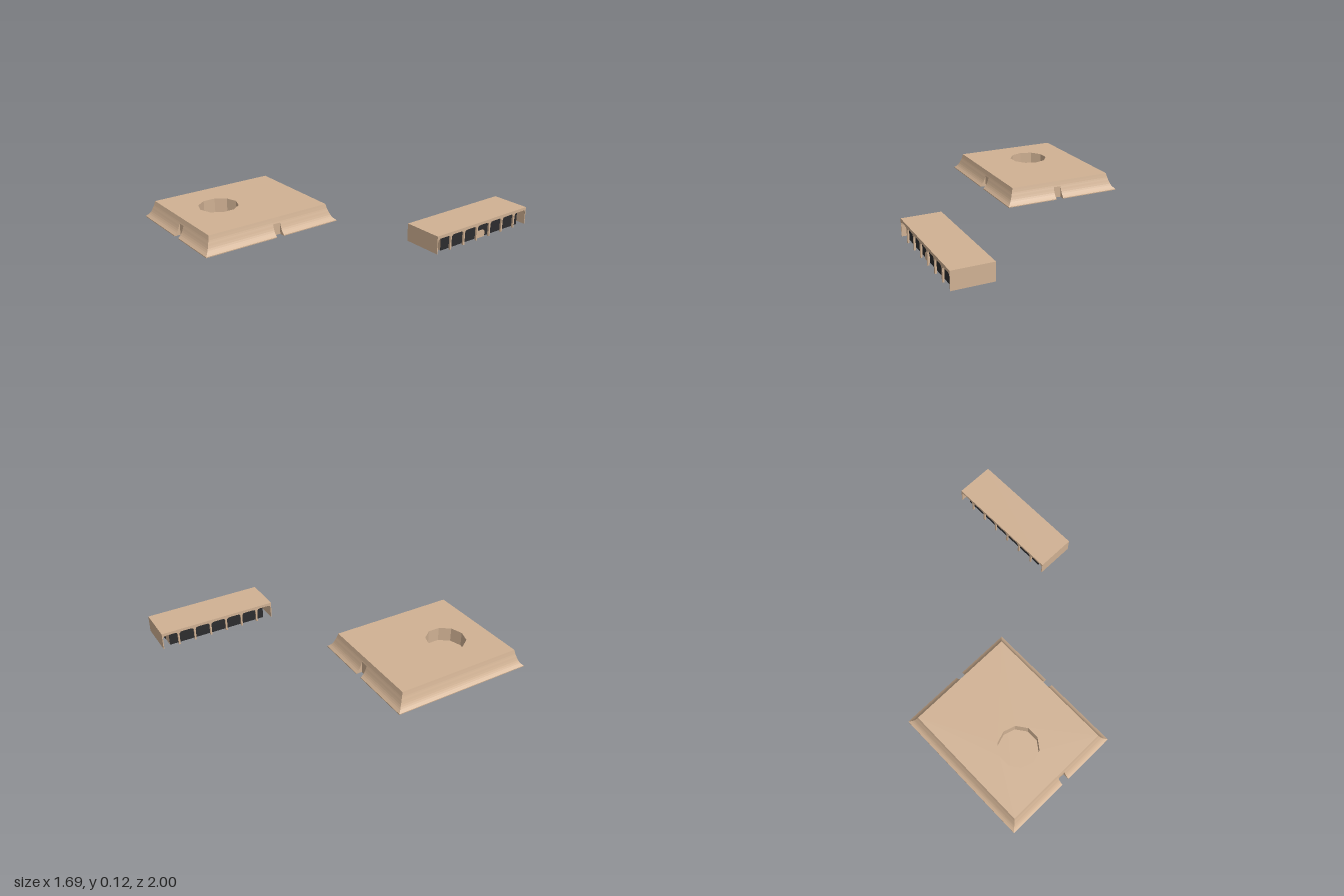
import * as THREE from 'three';

const tan = new THREE.MeshStandardMaterial({ color: 0xd0b193 });
tan.name = 'tan';
const dark = new THREE.MeshStandardMaterial({ color: 0x2c2c2e });
dark.name = 'dark grey';

function add(parent, name, geometry, material) {
  const mesh = new THREE.Mesh(geometry, material);
  mesh.name = name;
  parent.add(mesh);
  return mesh;
}

// Box given by its minimum and maximum corners
function box(parent, name, material, x0, x1, y0, y1, z0, z1) {
  const mesh = add(parent, name, new THREE.BoxGeometry(x1 - x0, y1 - y0, z1 - z0), material);
  mesh.position.set((x0 + x1) / 2, (y0 + y1) / 2, (z0 + z1) / 2);
  return mesh;
}

// Hall plinth
const H = 0.12, INSET = 0.054;
const CX = -0.41, CZ = 0.495, HX = 0.435, HZ = 0.505;

// Flared edge, as [inset from the rim, height]
const curve = new THREE.SplineCurve([
  [0, 0.006], [0.017, 0.022], [0.03, 0.043], [0.04, 0.07], [0.047, 0.09], [INSET, H],
].map(([a, b]) => new THREE.Vector2(a, b)));
const flareProfile = [[0, 0], ...curve.getPoints(10).map(p => [p.x, p.y]), [INSET, 0]];
const lintelProfile = [[0.044, 0], [0.044, 0.08], [0.047, 0.09], [INSET, H], [INSET, 0]];

// Straight run of a profile from u0 to u1; an end can be mitred for a corner
function edgeRun(profile, half, u0, u1, mitre0, mitre1) {
  const a = profile.map(([i, y]) => [u0 + (mitre0 ? i : 0), y, half - i]);
  const b = profile.map(([i, y]) => [u1 - (mitre1 ? i : 0), y, half - i]);
  const n = profile.length, last = n - 1, pos = [];
  const tri = (...pts) => pts.forEach(p => pos.push(...p));
  for (let i = 0; i < n; i++) {
    const j = (i + 1) % n;
    tri(a[i], b[i], b[j]);
    tri(a[i], b[j], a[j]);
    if (i < last - 1) {
      tri(a[last], a[i], a[j]);
      tri(b[last], b[j], b[i]);
    }
  }
  const g = new THREE.BufferGeometry();
  g.setAttribute('position', new THREE.Float32BufferAttribute(pos, 3));
  g.computeVertexNormals();
  return g;
}

function createPlinth() {
  const plinth = new THREE.Group();
  plinth.name = 'plinth';
  plinth.position.set(CX, 0, CZ);

  // Deck with a ten-sided well
  const hx = HX - INSET, hz = HZ - INSET, floor = 0.02;
  const shape = new THREE.Shape([[-hx, -hz], [hx, -hz], [hx, hz], [-hx, hz]]
    .map(([x, y]) => new THREE.Vector2(x, y)));
  const well = [];
  for (let i = 0; i < 10; i++) {
    const t = Math.PI / 2 + i * Math.PI / 5;
    well.push(new THREE.Vector2(-0.043 + 0.138 * Math.cos(t), -0.143 + 0.138 * Math.sin(t)));
  }
  shape.holes.push(new THREE.Path(well));
  const deck = new THREE.ExtrudeGeometry(shape, { depth: H - floor, bevelEnabled: false });
  deck.rotateX(-Math.PI / 2).translate(0, floor, 0);
  add(plinth, 'deck', deck, tan);
  box(plinth, 'wellFloor', tan, -hx, hx, 0, floor, -hz, hz);

  // Four flared sides, three of them with a doorway notch
  const sides = [
    ['front', 0, HZ, HX, 0.0325],
    ['left', Math.PI / 2, HX, HZ, 0.0425],
    ['back', Math.PI, HZ, HX, -0.0325],
    ['right', -Math.PI / 2, HX, HZ, null],
  ];
  for (const [name, angle, half, len, notch] of sides) {
    const side = new THREE.Group();
    side.name = name + 'Flare';
    side.rotation.y = angle;
    plinth.add(side);
    if (notch === null) {
      add(side, 'flare', edgeRun(flareProfile, half, -len, len, true, true), tan);
    } else {
      const n0 = notch - 0.0275, n1 = notch + 0.0275;
      add(side, 'flareStart', edgeRun(flareProfile, half, -len, n0, true, false), tan);
      add(side, 'doorLintel', edgeRun(lintelProfile, half, n0, n1, false, false), tan);
      add(side, 'flareEnd', edgeRun(flareProfile, half, n1, len, false, true), tan);
    }
  }
  return plinth;
}

// Arch-topped outline, centred on 0
function doorGeometry(w, h, depth) {
  const c = 0.012, s = new THREE.Shape();
  s.moveTo(-w / 2, 0);
  s.lineTo(w / 2, 0);
  s.lineTo(w / 2, h - c);
  s.lineTo(w / 2 - c, h);
  s.lineTo(-w / 2 + c, h);
  s.lineTo(-w / 2, h - c);
  return new THREE.ExtrudeGeometry(s, { depth, bevelEnabled: false });
}

// Row of seven arches between thin posts
function arcadeGeometry(length, depth) {
  const bays = 7, pitch = length / bays, post = 0.006, top = 0.1, r = 0.022;
  const s = new THREE.Shape();
  s.moveTo(-length / 2, H);
  s.lineTo(-length / 2, 0);
  for (let i = 0; i < bays; i++) {
    const a = -length / 2 + i * pitch + post, b = a + pitch - 2 * post;
    s.lineTo(a, 0);
    s.lineTo(a, top - r);
    s.quadraticCurveTo(a, top, a + r, top);
    s.lineTo(b - r, top);
    s.quadraticCurveTo(b, top, b, top - r);
    s.lineTo(b, 0);
  }
  s.lineTo(length / 2, 0);
  s.lineTo(length / 2, H);
  return new THREE.ExtrudeGeometry(s, { depth, bevelEnabled: false, curveSegments: 3 });
}

function createPavilion() {
  const pavilion = new THREE.Group();
  pavilion.name = 'pavilion';
  const length = 0.835, hw = 0.135, hl = length / 2, wall = 0.006, t = 0.012;
  pavilion.position.set(0.71, 0, -0.5825);

  box(pavilion, 'roof', tan, -hw, hw, 0.102, H, -hl, hl);
  box(pavilion, 'frontEndWall', tan, -hw, hw, 0, H, hl - wall, hl);
  box(pavilion, 'backEndWall', tan, -hw, hw, 0, H, -hl, -hl + wall);

  // Arcades along both long sides
  for (const s of [1, -1]) {
    const arcade = add(pavilion, s > 0 ? 'leftArcade' : 'rightArcade', arcadeGeometry(length, t), tan);
    arcade.rotation.y = s * Math.PI / 2;
    arcade.position.x = s * (hw - t);
  }

  // Inner room with dark long walls
  const cw = 0.105, cl = 0.36;
  box(pavilion, 'room', tan, -cw, cw, 0, 0.103, -cl, cl);
  for (const s of [1, -1]) {
    const x = s * (cw + 0.002);
    box(pavilion, 'darkWall', dark, x - 0.002, x + 0.002, 0.001, 0.103, -cl, cl);
    const endDoor = add(pavilion, 'endDoor', doorGeometry(0.05, 0.05, 0.003), dark);
    endDoor.rotation.y = s > 0 ? 0 : Math.PI;
    endDoor.position.z = s * cl;
  }
  const door = add(pavilion, 'sideDoor', doorGeometry(0.07, 0.048, 0.008), tan);
  door.rotation.y = Math.PI / 2;
  door.position.x = cw + 0.002;
  return pavilion;
}

export function createModel() {
  const model = new THREE.Group();
  model.name = 'model';
  model.add(createPlinth(), createPavilion());
  return model;
}
